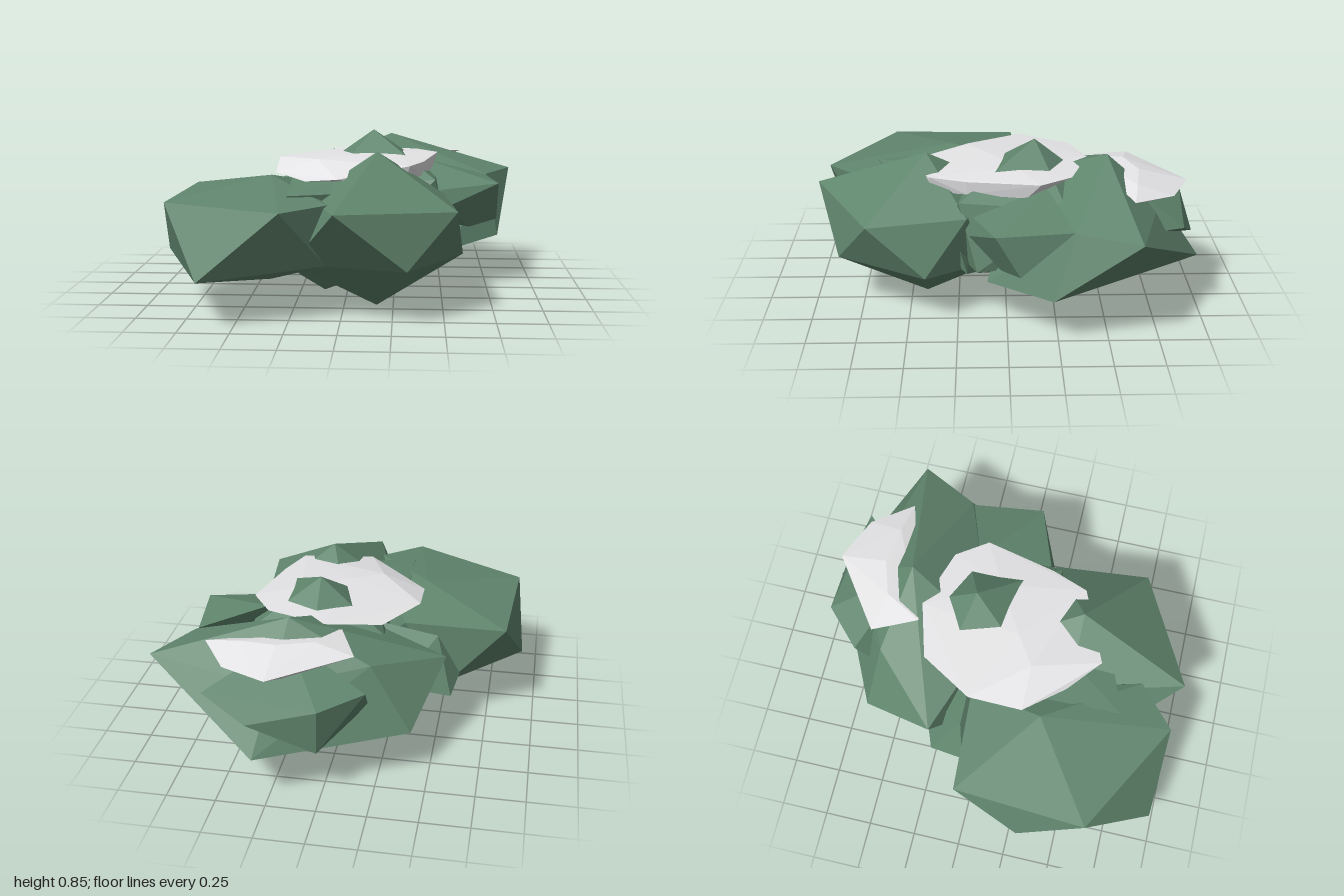
import * as THREE from 'three';
import { ConvexGeometry } from 'three/addons/geometries/ConvexGeometry.js';

export function createModel() {
  const group = new THREE.Group();
  const leaf = new THREE.MeshStandardMaterial({ color: 0x61866e, flatShading: true });
  leaf.name = 'leaf green';
  const snow = new THREE.MeshStandardMaterial({ color: 0xe6e6e8, flatShading: true });
  snow.name = 'snow white';

  // A faceted clump spanned by a few corner points
  const clump = (name, material, points) => {
    const mesh = new THREE.Mesh(
      new ConvexGeometry(points.map((p) => new THREE.Vector3(...p))), material);
    mesh.name = name;
    group.add(mesh);
  };

  // Front clump: top, upper ring, lower ring, bottom
  clump('frontLeaves', leaf, [
    [0.165, 0.785, 0.41],
    [0.56, 0.53, 0.70], [-0.02, 0.56, 1.0], [-0.18, 0.55, 0.41], [0.03, 0.56, 0.02], [0.5, 0.55, 0.2],
    [0.60, 0.27, 0.41], [0.32, 0.27, 0.87], [-0.24, 0.27, 0.70], [-0.2, 0.25, 0.15], [0.3, 0.25, 0.0],
    [0.165, 0.0, 0.42],
  ]);

  // Wide clump on the right-hand side
  clump('rightLeaves', leaf, [
    [-0.38, 0.65, 0.3],
    [-0.87, 0.555, 0.64], [-0.27, 0.56, 0.97], [-0.83, 0.56, -0.05], [-0.06, 0.57, 0.78], [-0.3, 0.58, -0.08],
    [-0.92, 0.26, 0.3], [-0.66, 0.23, 0.97], [-0.07, 0.27, 0.75], [-0.55, 0.25, -0.07],
    [-0.05, 0.25, 0.1], [-0.38, 0.12, 0.38],
  ]);

  // Large clump across the back
  clump('backLeaves', leaf, [
    [0.22, 0.79, -0.52],
    [0.91, 0.58, -0.63], [0.76, 0.58, -0.33], [0.25, 0.55, -0.8], [-0.2, 0.6, -0.6], [-0.54, 0.5, -0.26],
    [0.0, 0.6, -0.05],
    [0.82, 0.25, -0.22], [0.31, 0.26, -1.0], [-0.41, 0.27, -0.65], [-0.4, 0.3, -0.15],
    [0.55, 0.23, 0.1], [0.15, 0.085, -0.31],
  ]);

  // Low clump between the back and the right-hand side
  clump('rightRearLeaves', leaf, [
    [-0.57, 0.26, -0.25], [-0.6, 0.3, -0.07], [-0.48, 0.53, -0.1], [-0.1, 0.6, -0.1],
    [-0.3, 0.35, -0.35], [-0.15, 0.15, 0.05], [-0.3, 0.3, 0.1],
  ]);

  // Smaller clump standing out of the back face
  clump('rearLeaves', leaf, [
    [0.22, 0.7, -0.55], [0.58, 0.53, -0.87], [0.35, 0.42, -0.95], [0.0, 0.52, -0.94], [-0.2, 0.53, -0.75],
    [0.01, 0.28, -0.92], [-0.2, 0.42, -0.66], [0.2, 0.3, -0.5],
  ]);

  // Clump on the left-hand side
  clump('leftLeaves', leaf, [
    [0.4, 0.68, -0.2], [0.8, 0.58, 0.06], [0.5, 0.56, 0.17], [0.75, 0.58, -0.32],
    [0.8, 0.37, -0.06], [0.52, 0.47, 0.19], [0.65, 0.34, 0.03], [0.3, 0.4, 0.0],
  ]);

  // Central clump with the highest peak
  clump('centreLeaves', leaf, [
    [0.13, 0.845, -0.15],
    [0.12, 0.6, -0.46], [-0.22, 0.59, -0.26], [-0.11, 0.59, 0.18], [0.46, 0.62, 0.24], [0.48, 0.59, -0.30],
    [0.55, 0.28, 0.15], [0.1, 0.28, 0.35], [-0.35, 0.28, 0.0], [-0.1, 0.28, -0.5], [0.4, 0.28, -0.45],
    [0.1, 0.07, 0.0],
  ]);

  // Low inner clump filling the middle, with a spur over the right-hand side
  clump('innerLeaves', leaf, [
    [-0.26, 0.6, 0.70], [-0.03, 0.6, 0.62], [-0.28, 0.64, 0.2], [0.1, 0.66, 0.2], [0.48, 0.42, 0.25],
    [0.52, 0.26, 0.2], [0.05, 0.3, 0.5], [-0.3, 0.25, 0.1], [-0.12, 0.01, 0.14], [0.02, 0.06, 0.05],
    [-0.25, 0.12, 0.25],
  ]);

  // Snow cap over the middle
  clump('centreSnow', snow, [
    [0.06, 0.72, -0.43], [-0.22, 0.70, -0.35], [-0.38, 0.70, -0.08], [-0.37, 0.65, 0.2], [-0.2, 0.63, 0.4],
    [-0.03, 0.66, 0.55], [0.33, 0.71, 0.39], [0.30, 0.62, 0.39], [0.40, 0.71, 0.2], [0.39, 0.64, 0.2],
    [0.48, 0.72, -0.17], [0.45, 0.64, -0.1], [0.37, 0.72, -0.33],
    [0.0, 0.73, 0.1], [0.25, 0.735, -0.05], [-0.15, 0.72, 0.2], [0.05, 0.62, 0.1],
  ]);

  // Snow patch on the back slope
  clump('backSnow', snow, [
    [0.25, 0.66, -0.93], [0.48, 0.66, -0.83], [0.62, 0.68, -0.62], [-0.13, 0.68, -0.66], [-0.03, 0.70, -0.43],
    [0.25, 0.72, -0.68], [0.07, 0.72, -0.62], [0.45, 0.71, -0.65], [0.2, 0.59, -0.77], [0.4, 0.60, -0.72],
  ]);

  return group;
}
